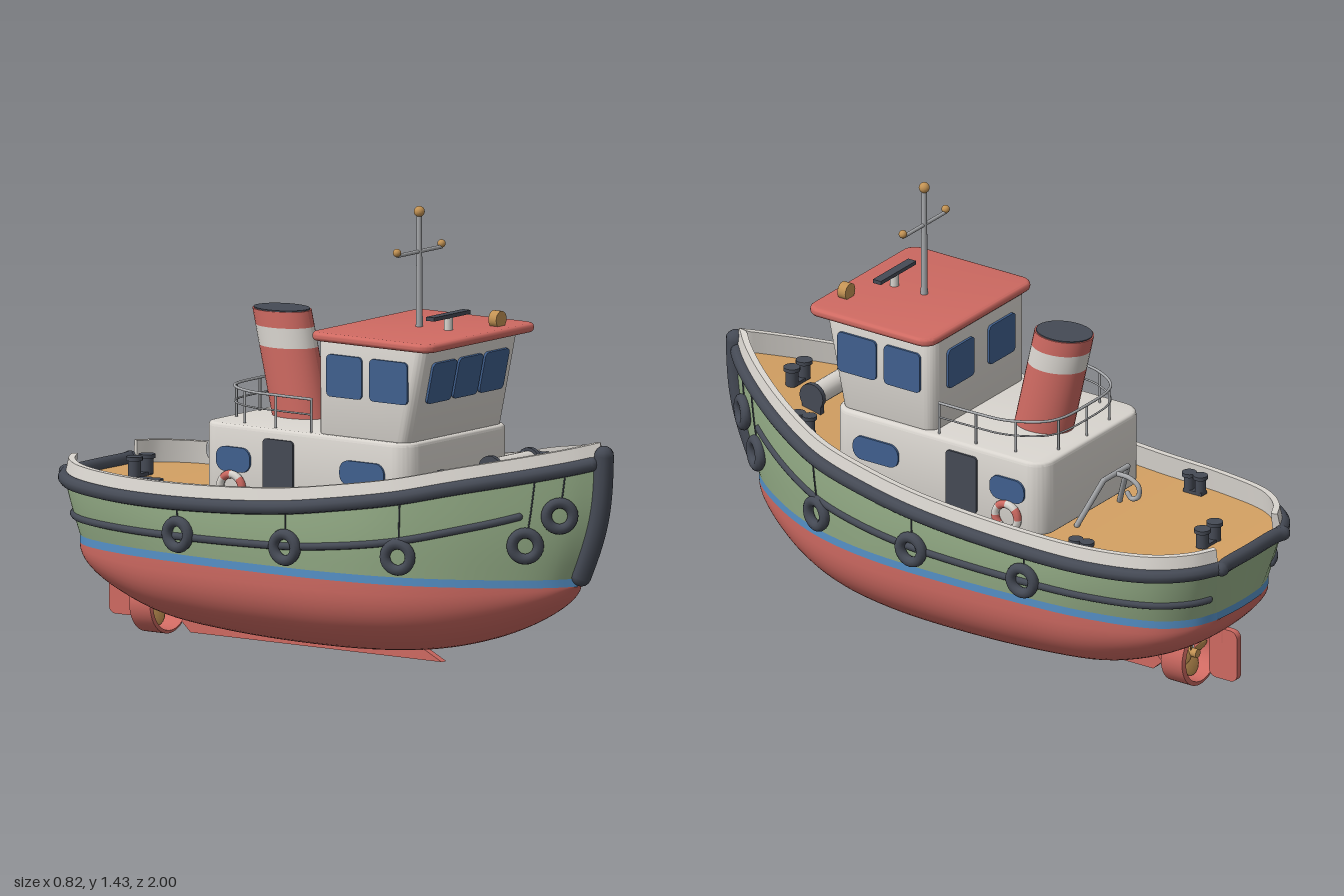
import * as THREE from 'three';
import { toCreasedNormals } from 'three/addons/utils/BufferGeometryUtils.js';

const V = (x, y, z) => new THREE.Vector3(x, y, z);
const mat = (name, color, side = THREE.FrontSide) => {
  const m = new THREE.MeshStandardMaterial({ color, side });
  m.name = name;
  return m;
};

export function createModel() {
  const D = THREE.DoubleSide;
  const red = mat('red', 0xcf6a62, D), green = mat('green', 0x98b18a, D), blue = mat('stripe blue', 0x5590c6, D);
  const white = mat('off white', 0xdad6d0, D), wood = mat('deck wood', 0xd4a163, D), dark = mat('rubber dark', 0x454a55);
  const glass = mat('window blue', 0x40608f), bronze = mat('bronze', 0xc39354), steel = mat('steel', 0xa6a8ab);

  const boat = new THREE.Group();
  boat.name = 'tugboat';
  const add = (name, geo, material, x = 0, y = 0, z = 0) => {
    const m = new THREE.Mesh(geo, material);
    m.name = name;
    m.position.set(x, y, z);
    boat.add(m);
    return m;
  };
  const tube = (name, pts, r, material, seg = 40) => {
    add(name, new THREE.TubeGeometry(new THREE.CatmullRomCurve3(pts), seg, r, 10), material);
    for (const p of [pts[0], pts[pts.length - 1]]) add(name + 'End', new THREE.SphereGeometry(r, 10, 8), material, p.x, p.y, p.z);
  };
  const cyl = (r, h, r2 = r) => new THREE.CylinderGeometry(r, r2, h, 20);
  const range = (n, f) => Array.from({ length: n + 1 }, (_, i) => f(i / n));
  // Smooth surface from a rule (u, v) -> point
  const patch = (name, f, nu, nv, material) => {
    const pos = [], idx = [];
    for (let i = 0; i <= nu; i++) for (let j = 0; j <= nv; j++) pos.push(...f(i / nu, j / nv).toArray());
    for (let i = 0; i < nu; i++) for (let j = 0; j < nv; j++) {
      const a = i * (nv + 1) + j, b = a + nv + 1;
      idx.push(a, b, a + 1, b, b + 1, a + 1);
    }
    const g = new THREE.BufferGeometry();
    g.setAttribute('position', new THREE.Float32BufferAttribute(pos, 3));
    g.setIndex(idx);
    g.computeVertexNormals();
    return add(name, g, material);
  };
  const roundRect = (w, h, r) => {
    const s = new THREE.Shape(), x = w / 2, y = h / 2;
    s.moveTo(-x + r, -y).lineTo(x - r, -y).absarc(x - r, -y + r, r, -Math.PI / 2, 0);
    s.lineTo(x, y - r).absarc(x - r, y - r, r, 0, Math.PI / 2);
    s.lineTo(-x + r, y).absarc(-x + r, y - r, r, Math.PI / 2, Math.PI);
    s.lineTo(-x, -y + r).absarc(-x + r, -y + r, r, Math.PI, Math.PI * 1.5);
    return s;
  };
  const plate = (w, h, r, depth = 0.008) => new THREE.ExtrudeGeometry(roundRect(w, h, r), { depth, bevelEnabled: false, curveSegments: 6 });
  // Upright block with rounded corners and bevelled edges, standing on y = 0
  const block = (w, h, l, r, b) => {
    const g = new THREE.ExtrudeGeometry(roundRect(w - 2 * b, l - 2 * b, r), { depth: h - 2 * b, bevelSize: b, bevelThickness: b, bevelSegments: 3, curveSegments: 8 });
    return g.rotateX(-Math.PI / 2).translate(0, b, 0);
  };

  // Hull stations, stern to bow: sheer z, half beam, height; waterline z, half beam; keel height
  const rows = [
    [-.965, .17, .505, -.925, .12, .3], [-.92, .245, .502, -.895, .2, .24], [-.82, .322, .497, -.81, .28, .172],
    [-.62, .372, .49, -.6, .342, .085], [-.35, .386, .492, -.34, .367, .053], [0, .391, .515, 0, .373, .043],
    [.22, .38, .545, .21, .362, .049], [.42, .348, .578, .4, .325, .07], [.6, .275, .618, .56, .262, .112],
    [.78, .165, .655, .72, .165, .182], [.9, .072, .682, .82, .083, .247], [.965, .008, .70, .875, .008, .31]];
  const top = new THREE.CatmullRomCurve3(rows.map(r => V(r[1], r[2], r[0])));
  const water = new THREE.CatmullRomCurve3(rows.map(r => V(r[4], .303, r[3])));
  const keel = new THREE.CatmullRomCurve3(rows.map(r => V(0, r[5], r[3])));
  // Point on the topsides: t along the boat, f from stripe to sheer
  const side = (t, f, s = 1) => {
    const a = water.getPoint(t).setY(.328), p = a.lerp(top.getPoint(t), f), k = Math.sin(Math.PI * f);
    return V(s * (p.x + .004 * k * (1 - t ** 8)), p.y, p.z + .025 * k * t ** 6);
  };
  // Sheer line pushed inward by d and raised by h
  const inset = (t, d, h, s = 1) => {
    const p = top.getPoint(t), q = top.getTangent(t), l = Math.hypot(q.x, q.z);
    return V(s * Math.max(.001, p.x - d * q.z / l), p.y + h, p.z + d * q.x / l);
  };

  patch('hullBottom', (t, v) => {
    const a = (v - .5) * Math.PI, w = water.getPoint(t), k = Math.min(.303, keel.getPoint(t).y);
    return V(w.x * Math.sign(a) * Math.abs(Math.sin(a)) ** .85, .303 - (.303 - k) * Math.max(0, Math.cos(a)) ** .8, w.z);
  }, 70, 36, red);
  for (const s of [-1, 1]) {
    patch('waterlineStripe', (t, v) => { const p = water.getPoint(t); return V(s * p.x, .303 + .025 * v, p.z); }, 70, 1, blue);
    patch('topsides', (t, f) => side(t, f, s), 70, 8, green);
    // Bulwark: outer face, cap, inner face and end
    const c = [[0, 0], [.012, .06], [.032, .06], [.026, -.012]];
    for (let i = 0; i < 3; i++) patch('bulwark', (t, v) => inset(t, ...c[i], s).lerp(inset(t, ...c[i + 1], s), v), 70, 1, white);
    patch('bulwarkEnd', (u, v) => inset(0, ...c[0], s).lerp(inset(0, ...c[3], s), u).lerp(inset(0, ...c[1], s).lerp(inset(0, ...c[2], s), u), v), 1, 1, white);
    tube('sheerFender', range(40, t => inset(t * .97, .001, 0, s)), .022, dark, 90);
    tube('lowerRail', range(30, u => {
      const t = .03 + u * .79;
      return side(t, .36 + .26 * Math.max(0, (t - .45) / .37) ** 1.5, s);
    }), .012, dark, 70);
  }
  const across = (a, v, b) => V(a.x * (2 * v - 1), a.y, a.z - b * (1 - (2 * v - 1) ** 2));
  patch('transomStripe', (u, v) => across(water.getPoint(0).setY(.303 + .025 * u), v, .008), 1, 10, blue);
  patch('transom', (u, v) => across(side(0, u), v, .008), 6, 10, green);
  patch('deck', (t, v) => { const p = inset(t, .015, -.01); return V(p.x * (2 * v - 1), p.y, p.z); }, 60, 8, wood);
  tube('sternFender', [V(-.165, .505, -.975), V(-.14, .505, -.968), V(0, .505, -.968), V(.14, .505, -.968), V(.165, .505, -.975)], .023, dark);
  tube('stemFender', range(8, u => side(1, .02 + u * 1.03).setX(0).add(V(0, 0, .004))), .032, dark);

  // Tyre fenders hung on the sides
  for (const s of [-1, 1]) for (const [z, y] of [[.865, .535], [.775, .44], [.425, .395], [.035, .395], [-.38, .395]]) {
    let best = 0, f = 0, err = 9;
    for (let t = 0; t < 1; t += .002) {
      const g = (y - .328) / (top.getPoint(t).y - .328), e = Math.abs(side(t, g).z - z);
      if (e < err) { err = e; best = t; f = g; }
    }
    const p = side(best, f, s);
    const n = side(best + .01, f, s).sub(p).setY(0).cross(V(0, 1, 0)).normalize();
    if (n.x * s < 0) n.negate();
    const c = p.clone().addScaledVector(n, .012);
    add('tyre', new THREE.TorusGeometry(.041, .017, 10, 24), dark, c.x, c.y, c.z).lookAt(c.clone().add(n));
    tube('tyreRope', range(4, u => side(best, f + .15 + u * (.85 - f), s).addScaledVector(n, .002)), .0025, dark, 8);
  }

  // Deckhouse and wheelhouse
  add('deckhouse', toCreasedNormals(block(.55, .245, .795, .055, .012), .6), white, 0, .49, .02);
  const wheel = block(.506, .305, .35, .035, .004), wp = wheel.attributes.position;
  for (let i = 0; i < wp.count; i++) if (wp.getZ(i) > 0) wp.setZ(i, wp.getZ(i) + .065 * wp.getY(i) / .3);
  wheel.computeVertexNormals();
  add('wheelhouse', toCreasedNormals(wheel, .6), white, 0, .733, .225);
  add('wheelhouseRoof', toCreasedNormals(block(.576, .028, .47, .035, .012), .7), red, 0, 1.028, .275);
  for (const x of [-.135, 0, .135]) add('frontWindow', plate(.124, .132, .015), glass, x, .92, .4415).rotation.x = .213;
  for (const x of [-.11, .11]) add('rearWindow', plate(.14, .13, .015), glass, x, .92, .05).rotation.y = Math.PI;
  for (const s of [-1, 1]) {
    const onSide = (name, g, m, x, y, z) => { add(name, g, m, s * x, y, z).rotation.y = s * Math.PI / 2; };
    onSide('sideWindow', plate(.145, .132, .015), glass, .252, .922, .333);
    onSide('sideWindow', plate(.135, .132, .015), glass, .252, .922, .163);
    onSide('cabinWindow', plate(.17, .077, .033), glass, .274, .628, .247);
    onSide('cabinWindow', plate(.13, .077, .033), glass, .274, .628, -.247);
    onSide('door', plate(.115, .19, .012), dark, .274, .61, -.075);
    // Life ring in alternating colours
    for (let i = 0; i < 8; i++) {
      const g = new THREE.TorusGeometry(.042, .013, 8, 6, Math.PI / 4).rotateZ(i * Math.PI / 4);
      onSide('lifeRing', g, i % 2 ? white : red, .287, .54, -.25);
    }
  }

  // Funnel: raked oval bands
  const funnel = (name, y0, y1, m, k = 1) => {
    const g = new THREE.CylinderGeometry(k, k, y1 - y0, 32).scale(.076, 1, .099).translate(0, (y0 + y1) / 2, -.192);
    const p = g.attributes.position;
    for (let i = 0; i < p.count; i++) p.setZ(i, p.getZ(i) - .23 * (p.getY(i) - .735));
    g.computeVertexNormals();
    add(name, g, m);
  };
  funnel('funnelLower', .73, .95, red);
  funnel('funnelBand', .95, 1.012, white);
  funnel('funnelUpper', 1.012, 1.062, red);
  funnel('funnelTop', 1.06, 1.066, dark, .95);

  // Railing around the deckhouse roof
  const railPath = new THREE.CatmullRomCurve3([[-.248, .03], [-.247, -.1], [-.235, -.22], [-.16, -.33], [0, -.352],
    [.16, -.33], [.235, -.22], [.247, -.1], [.248, .03]].map(([x, z]) => V(x, 0, z)));
  for (const [y, r] of [[.79, .003], [.838, .0045]]) tube('roofRail', range(24, t => railPath.getPoint(t).setY(y)), r, steel, 60);
  for (let i = 0; i <= 8; i++) { const p = railPath.getPointAt(i / 8); add('railPost', cyl(.004, .108), steel, p.x, .785, p.z); }

  // Mast, radar and searchlight
  add('mast', cyl(.008, .36, .011), steel, 0, 1.23, .26);
  add('mastYard', cyl(.006, .23).rotateZ(Math.PI / 2), steel, 0, 1.29, .26);
  for (const [x, y, r] of [[0, 1.415, .017], [-.115, 1.3, .013], [.115, 1.3, .013]]) add('mastLamp', new THREE.SphereGeometry(r, 14, 10), bronze, x, y, .26);
  add('radarPost', cyl(.014, .045), white, 0, 1.075, .372);
  add('radarBar', new THREE.BoxGeometry(.19, .012, .03), dark, 0, 1.101, .372);
  add('searchlight', cyl(.027, .03).rotateX(Math.PI / 2), bronze, .155, 1.076, .445);

  // Twin bollards, set across or along the boat
  const bollards = (x, y, z, along) => {
    add('bollardBase', new THREE.BoxGeometry(along ? .03 : .08, .012, along ? .07 : .03), dark, x, y + .004, z);
    const gap = along ? .021 : .033, r = along ? .017 : .02;
    for (const s of [-1, 1]) {
      const px = x + (along ? 0 : s * gap), pz = z + (along ? s * gap : 0);
      add('bollard', cyl(r, .055), dark, px, y + .03, pz);
      add('bollardCap', cyl(r + .006, .012), dark, px, y + .058, pz);
    }
  };
  bollards(0, .487, -.81, false);
  bollards(0, .635, .735, false);
  for (const s of [-1, 1]) { bollards(s * .305, .48, -.545, true); bollards(s * .232, .597, .55, true); }

  // Anchor winch
  add('winchDrum', cyl(.034, .19).rotateZ(Math.PI / 2), white, 0, .655, .61);
  for (const s of [-1, 1]) {
    add('winchFlange', cyl(.044, .016).rotateZ(Math.PI / 2), dark, s * .1, .655, .61);
    add('winchFoot', new THREE.BoxGeometry(.02, .06, .07), dark, s * .098, .63, .61);
  }

  // Towing frame and hook
  for (const s of [-1, 1]) tube('towLeg', [V(s * .115, .485, -.395), V(s * .065, .635, -.46)], .009, steel, 4);
  tube('towBar', [V(-.065, .635, -.46), V(.065, .635, -.46)], .009, steel, 4);
  tube('towHook', [V(0, .635, -.46), V(0, .632, -.515), V(0, .61, -.547), V(0, .577, -.545), V(0, .565, -.52), V(0, .58, -.505)], .008, steel);

  // Keel, nozzle, propeller and rudder
  const bar = new THREE.Shape([[.355, .018], [.27, .06], [-.6, .09], [-.645, .05], [-.61, .018]].map(([z, y]) => new THREE.Vector2(-z, y)));
  add('keel', new THREE.ExtrudeGeometry(bar, { depth: .024, bevelEnabled: false }).rotateY(Math.PI / 2).translate(-.012, 0, 0), red);
  const ring = [[.086, -.045], [.1, -.04], [.1, .04], [.09, .045], [.084, 0], [.086, -.045]].map(([x, y]) => new THREE.Vector2(x, y));
  add('propellerNozzle', toCreasedNormals(new THREE.LatheGeometry(ring, 40), .6).rotateX(Math.PI / 2), red, 0, .105, -.74);
  add('propellerShaft', cyl(.014, .16).rotateX(Math.PI / 2), bronze, 0, .105, -.69);
  for (let i = 0; i < 4; i++) {
    const g = new THREE.SphereGeometry(1, 12, 8).scale(.026, .038, .005).rotateY(.5).translate(0, .043, 0).rotateZ(i * Math.PI / 2);
    add('propellerBlade', g, bronze, 0, .105, -.745);
  }
  add('rudder', plate(.105, .17, .025, .022).translate(0, 0, -.011).rotateY(Math.PI / 2), red, 0, .134, -.872);
  add('rudderStock', cyl(.012, .14), red, 0, .24, -.865);
  return boat;
}
